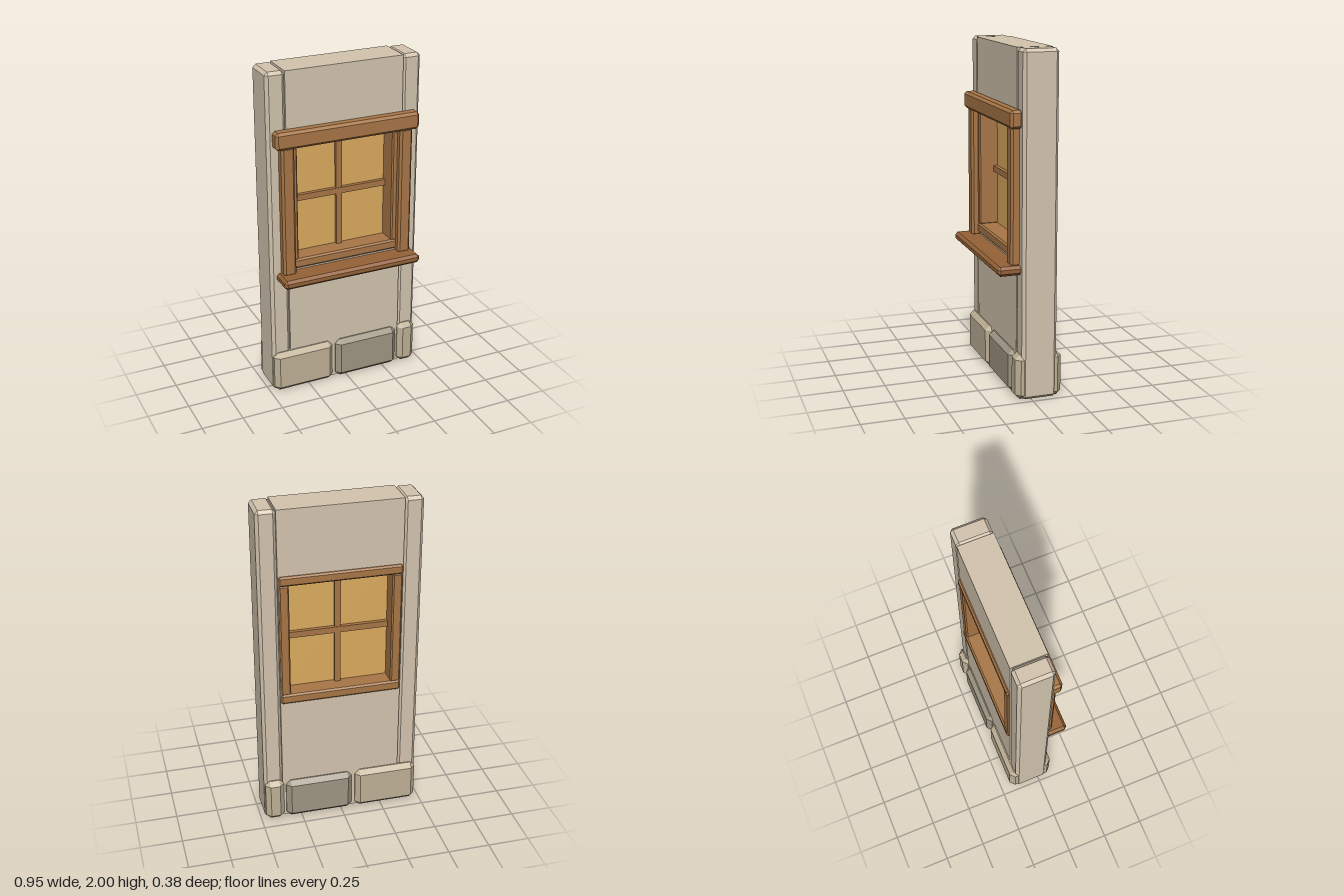
import * as THREE from 'three';
import { ConvexGeometry } from 'three/addons/geometries/ConvexGeometry.js';

const COLORS = {
  plaster: 0xd3c4ae, stoneLight: 0xc0b196, stoneDark: 0x9f9684,
  wood: 0xa87646, woodDark: 0x966337, glass: 0xdcab5e,
};
const materials = {};
for (const [key, color] of Object.entries(COLORS)) {
  materials[key] = new THREE.MeshStandardMaterial({ color, flatShading: true });
}

// Box between two values on each axis, with every edge chamfered by c
function chamferBox(name, material, [x0, x1], [y0, y1], [z0, z1], c) {
  const h = [(x1 - x0) / 2, (y1 - y0) / 2, (z1 - z0) / 2];
  const points = [];
  for (const sx of [-1, 1]) for (const sy of [-1, 1]) for (const sz of [-1, 1]) {
    for (let full = 0; full < 3; full++) {
      const [x, y, z] = h.map((v, i) => (i === full ? v : v - c));
      points.push(new THREE.Vector3(sx * x, sy * y, sz * z));
    }
  }
  const mesh = new THREE.Mesh(new ConvexGeometry(points), materials[material]);
  mesh.name = name;
  mesh.position.set((x0 + x1) / 2, (y0 + y1) / 2, (z0 + z1) / 2);
  return mesh;
}

function plainBox(name, material, [x0, x1], [y0, y1], [z0, z1]) {
  const mesh = new THREE.Mesh(new THREE.BoxGeometry(x1 - x0, y1 - y0, z1 - z0), materials[material]);
  mesh.name = name;
  mesh.position.set((x0 + x1) / 2, (y0 + y1) / 2, (z0 + z1) / 2);
  return mesh;
}

// The same x range on either side of the centre
const sideRange = (side, near, far) => (side > 0 ? [near, far] : [-far, -near]);

function rectangle(Type, x, y0, y1) {
  const path = new Type();
  path.moveTo(-x, y0).lineTo(x, y0).lineTo(x, y1).lineTo(-x, y1).closePath();
  return path;
}

const FRONT = 0.055, BACK = -0.153;

function createWall() {
  const group = new THREE.Group();
  group.name = 'wall';

  // Plaster panel with the window opening
  const shape = rectangle(THREE.Shape, 0.362, 0.005, 2);
  shape.holes.push(rectangle(THREE.Path, 0.33, 0.83, 1.58));
  const geometry = new THREE.ExtrudeGeometry(shape, { depth: FRONT - BACK, bevelEnabled: false });
  const panel = new THREE.Mesh(geometry, materials.plaster);
  panel.name = 'wallPanel';
  panel.position.z = BACK;
  group.add(panel);

  // Corner posts
  for (const side of [-1, 1]) {
    group.add(chamferBox(side > 0 ? 'leftPost' : 'rightPost', 'plaster',
      sideRange(side, 0.36, 0.475), [0, 2], [BACK, FRONT], 0.018));
  }
  return group;
}

// Row of foundation stones on both faces of the wall
function createStones() {
  const group = new THREE.Group();
  group.name = 'foundationStones';
  const rows = [['front', [0, 0.09]], ['back', [-0.188, -0.098]]];
  const stones = [
    ['LongStone', 'stoneLight', [-0.472, -0.09], 0.258],
    ['DarkStone', 'stoneDark', [-0.068, 0.342], 0.255],
    ['EndStone', 'stoneLight', [0.357, 0.47], 0.268],
  ];
  for (const [row, z] of rows) {
    for (const [name, material, x, top] of stones) {
      group.add(chamferBox(row + name, material, x, [0, top], z, 0.028));
    }
  }
  return group;
}

function createWindow() {
  const group = new THREE.Group();
  group.name = 'window';

  // Outer trim: lintel, sill and side casings
  group.add(chamferBox('lintel', 'wood', [-0.446, 0.446], [1.565, 1.668], [0.045, 0.118], 0.015));
  group.add(chamferBox('sill', 'woodDark', [-0.437, 0.437], [0.735, 0.79], [0.03, 0.187], 0.016));

  for (const side of [-1, 1]) {
    const label = side > 0 ? 'left' : 'right';
    group.add(chamferBox(label + 'Casing', 'wood',
      sideRange(side, 0.33, 0.41), [0.78, 1.575], [0.03, 0.104], 0.013));
    // Deep frame lining the opening
    group.add(chamferBox(label + 'Jamb', 'wood',
      sideRange(side, 0.3, 0.358), [0.855, 1.552], [-0.164, 0.064], 0.008));
  }
  group.add(chamferBox('topRail', 'wood', [-0.36, 0.36], [1.55, 1.608], [-0.169, 0.062], 0.01));
  group.add(chamferBox('bottomRail', 'wood', [-0.36, 0.36], [0.8, 0.86], [-0.169, 0.066], 0.01));

  // Glass and crossing bars
  group.add(plainBox('glass', 'glass', [-0.31, 0.31], [0.85, 1.56], [-0.06, -0.05]));
  group.add(plainBox('verticalBar', 'wood', [-0.018, 0.018], [0.855, 1.555], [-0.08, -0.03]));
  group.add(plainBox('horizontalBar', 'wood', [-0.302, 0.302], [1.185, 1.222], [-0.084, -0.026]));
  return group;
}

export function createModel() {
  const model = new THREE.Group();
  model.name = 'wallWithWindow';
  model.add(createWall(), createStones(), createWindow());
  return model;
}
